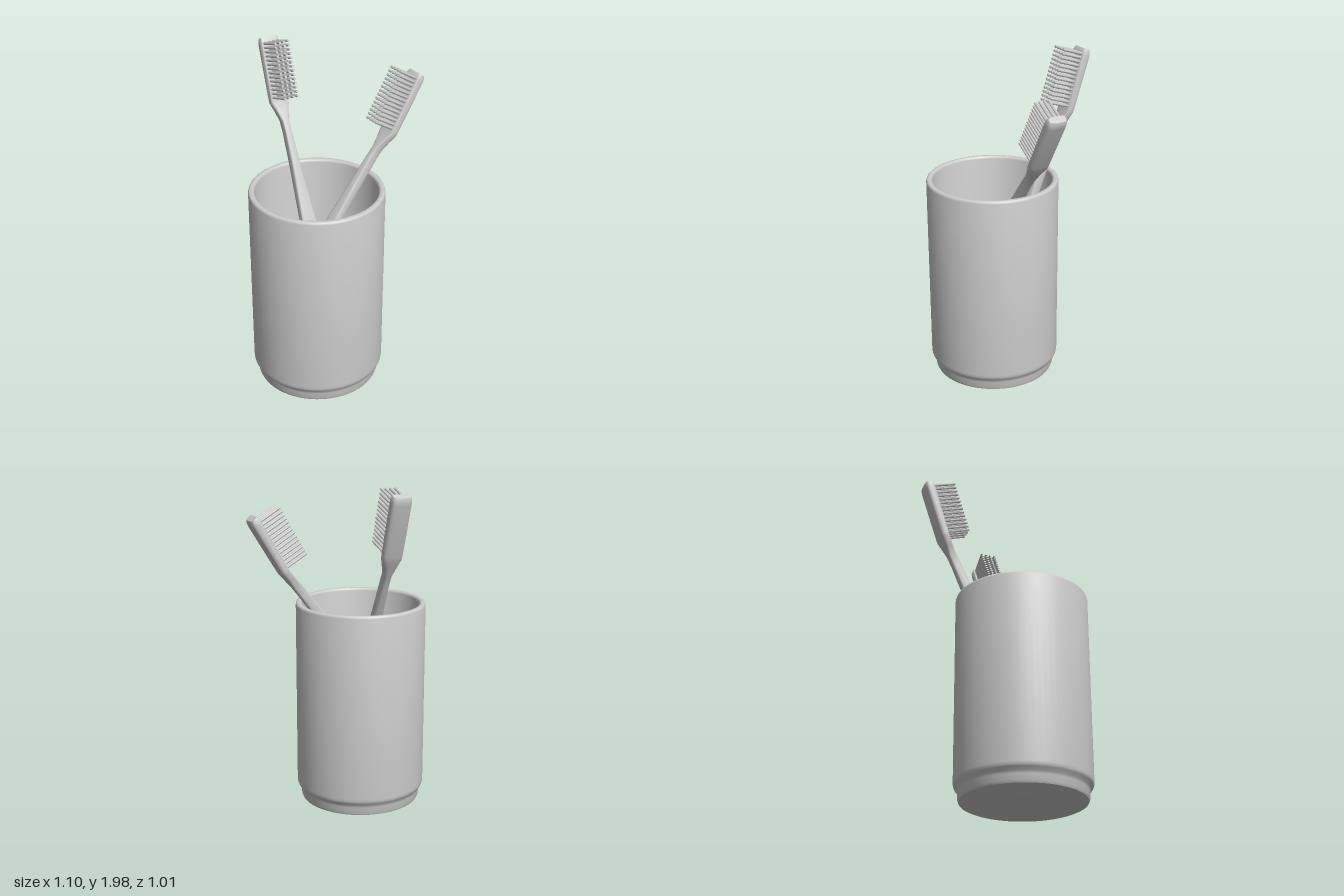
import * as THREE from 'three';
import { mergeGeometries, toCreasedNormals } from 'three/addons/utils/BufferGeometryUtils.js';

const grey = new THREE.MeshStandardMaterial({ color: 0xcccccc });

function mesh(name, geometry) {
  const m = new THREE.Mesh(geometry, grey);
  m.name = name;
  return m;
}

// Hollow cup with a stepped foot, rounded rim and filleted floor
function cupGeometry() {
  const profile = [
    [0, 0], [0.345, 0], [0.358, 0.006], [0.364, 0.02], [0.365, 0.055], [0.37, 0.072],
    [0.384, 0.088], [0.389, 0.1], [0.39, 0.115], [0.39, 1.225], [0.387, 1.235], [0.38, 1.24],
    [0.363, 1.24], [0.356, 1.235], [0.353, 1.225], [0.353, 0.12], [0.347, 0.095],
    [0.333, 0.078], [0.31, 0.07], [0, 0.07],
  ].map(([r, y]) => new THREE.Vector2(r, y));
  return toCreasedNormals(new THREE.LatheGeometry(profile, 64), 0.7);
}

// Brush body lofted along y; each station is [y, z offset, width, thickness]
const stations = [
  [0, 0, 0.125, 0.03], [0.015, 0, 0.14, 0.045], [0.3, 0, 0.118, 0.058], [0.6, 0, 0.088, 0.06],
  [0.88, 0, 0.056, 0.06], [1.08, 0, 0.043, 0.058], [1.15, -0.003, 0.045, 0.055],
  [1.21, -0.008, 0.08, 0.052], [1.265, -0.012, 0.118, 0.051], [1.29, -0.01, 0.12, 0.053],
  [1.6, 0.025, 0.12, 0.062], [1.628, 0.029, 0.116, 0.058], [1.642, 0.031, 0.104, 0.042],
];

function bodyGeometry() {
  const sides = 24, positions = [], index = [];
  const power = (v, e) => Math.sign(v) * Math.abs(v) ** e;
  for (const [y, z, width, thick] of stations) {
    for (let i = 0; i < sides; i++) {
      const a = (i / sides) * Math.PI * 2;
      const c = Math.cos(a), s = Math.sin(a);
      // squarer on the bristle side, rounder on the back
      const e = s > 0 ? 0.35 : 0.6;
      positions.push(power(c, e) * width / 2, y, z + power(s, e) * thick / 2);
    }
  }
  const last = stations.length - 1, bottom = stations.length * sides, top = bottom + 1;
  positions.push(0, stations[0][0], stations[0][1], 0, stations[last][0], stations[last][1]);
  for (let i = 0; i < sides; i++) {
    const k = (i + 1) % sides;
    for (let j = 0; j < last; j++) {
      const a = j * sides + i, b = j * sides + k;
      index.push(a, a + sides, b, b, a + sides, b + sides);
    }
    index.push(bottom, i, k, top, last * sides + k, last * sides + i);
  }
  const g = new THREE.BufferGeometry();
  g.setAttribute('position', new THREE.Float32BufferAttribute(positions, 3));
  g.setIndex(index);
  return toCreasedNormals(g, 0.6);
}

// Rows of thin bristles standing square to the head
function bristleGeometry() {
  const rows = 4, columns = 14, kick = 0.113, length = 0.15, parts = [];
  for (let r = 0; r < rows; r++) {
    for (let c = 0; c < columns; c++) {
      const t = c / (columns - 1);
      const g = new THREE.CylinderGeometry(0.008, 0.008, length, 6);
      g.translate(0, length / 2, 0);
      g.rotateX(Math.PI / 2 + kick);
      g.translate(-0.042 + 0.028 * r, 1.295 + 0.315 * t, 0.005 + 0.036 * t);
      parts.push(g);
    }
  }
  return mergeGeometries(parts);
}

export function createModel() {
  const model = new THREE.Group();

  const cup = mesh('cup', cupGeometry());
  cup.position.set(-0.156, 0, 0.12);
  model.add(cup);

  // Two identical brushes leaning out of the cup: turn about y, then lean back
  const body = bodyGeometry(), bristles = bristleGeometry();
  const placements = [
    { name: 'sideBrush', position: [-0.43, 0.457, 0.112], turn: -90, lean: 37 },
    { name: 'rearBrush', position: [-0.112, 0.436, 0.166], turn: 0, lean: 24 },
  ];
  for (const { name, position, turn, lean } of placements) {
    const brush = new THREE.Group();
    brush.name = name;
    brush.add(mesh('brushBody', body), mesh('bristles', bristles));
    brush.position.set(...position);
    brush.rotation.set(
      -THREE.MathUtils.degToRad(lean), THREE.MathUtils.degToRad(turn), 0, 'YXZ');
    model.add(brush);
  }
  return model;
}
